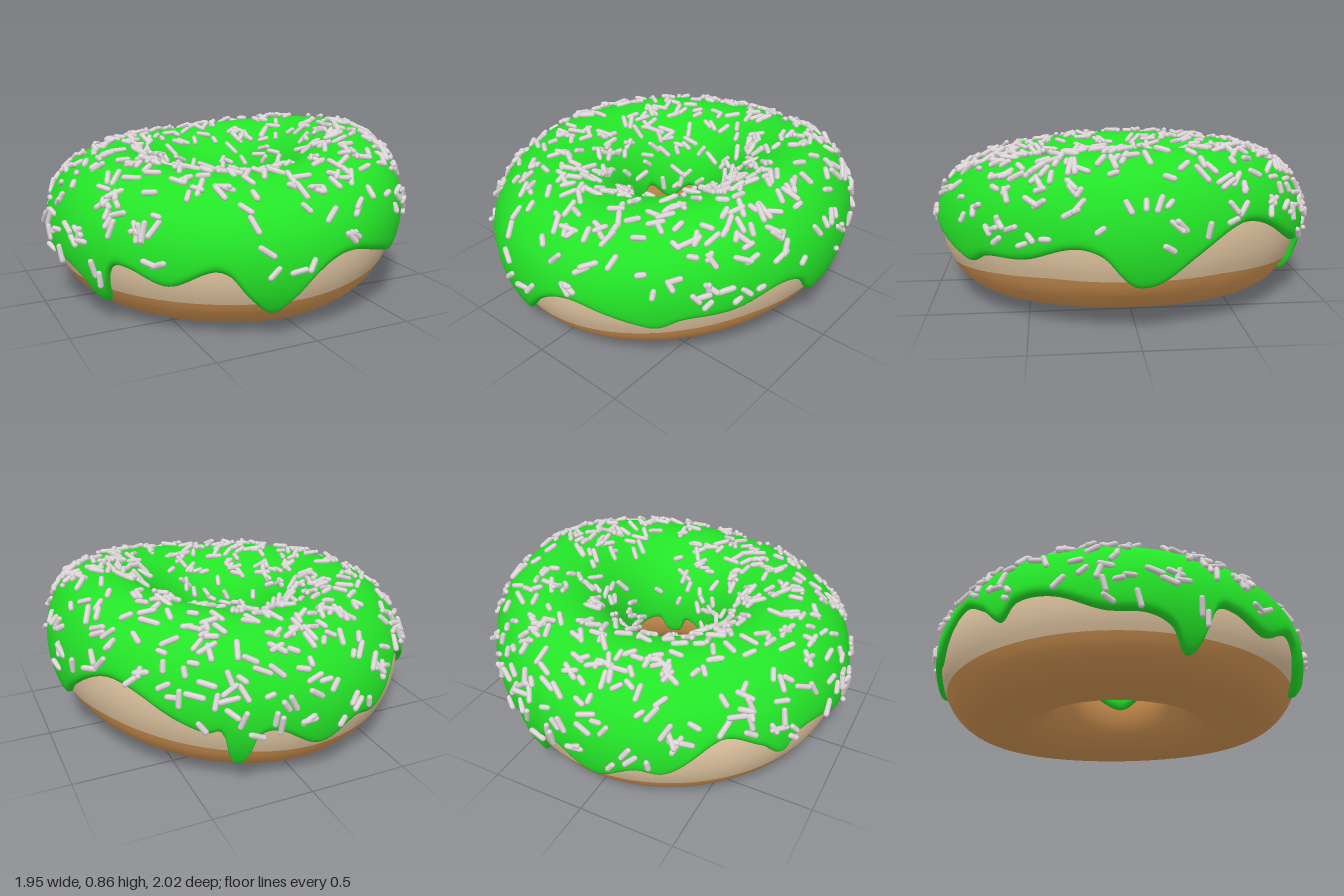
import * as THREE from 'three';
import { mergeGeometries } from 'three/addons/utils/BufferGeometryUtils.js';

const mat = (name, color) => new THREE.MeshStandardMaterial({ name, color });
const { PI } = Math;
const HALF = 0.352; // half height of the dough

// Gentle rise of the ring toward +x
const lift = (x) => 0.09 * Math.pow(Math.min(1, Math.max(0, (x + 0.1) / 0.9)), 1.5);

// Ring surface: a goes round the hole, t round the section (0 outside, PI/2 top), off is outward
function ring(a, t, off = 0) {
  const c = Math.cos(t), s = Math.sin(t), front = Math.max(0, Math.sin(a));
  // Fuller lower outer wall
  const r = 0.61 + (0.33 + off) * (c > 0 && s < 0 ? Math.pow(c, 0.88) : c);
  const x = 0.98 * r * Math.cos(a) + 0.035 * Math.max(0, (0.97 - r) / 0.72);
  // Front sags a little and bulges forward
  const y = HALF + (HALF + off) * s - 0.03 * front * Math.max(0, s) ** 2;
  const l = lift(x);
  return new THREE.Vector3(x, y + l * (1 + 0.6 * y), r * Math.sin(a) * (1 + 0.025 * front));
}

// Smooth closed mesh around the hole from point(a, v), v = 0..1
function sweep(point, nu, nv) {
  const pos = [], idx = [];
  for (let i = 0; i < nu; i++) {
    for (let j = 0; j <= nv; j++) pos.push(...point((i / nu) * 2 * PI, j / nv).toArray());
  }
  for (let i = 0; i < nu; i++) {
    for (let j = 0; j < nv; j++) {
      const p = i * (nv + 1) + j, q = ((i + 1) % nu) * (nv + 1) + j;
      idx.push(p, p + 1, q, p + 1, q + 1, q);
    }
  }
  const g = new THREE.BufferGeometry();
  g.setAttribute('position', new THREE.Float32BufferAttribute(pos, 3));
  g.setIndex(idx);
  g.computeVertexNormals();
  return g;
}

// Height of the dripping icing edge: [degrees, y]
const OUTER = [
  [0, 0.25], [4, 0.29], [10, 0.4], [18, 0.43], [32, 0.36], [46, 0.34], [53, 0.29], [59, 0.31],
  [68, 0.35], [77, 0.38], [84, 0.36], [90, 0.3], [96, 0.2], [102, 0.13], [109, 0.22],
  [114, 0.32], [119, 0.34], [131, 0.26], [143, 0.32], [149, 0.3], [153, 0.13], [157, 0.11],
  [161, 0.2], [168, 0.25], [180, 0.26], [194, 0.345], [205, 0.35], [210, 0.275], [217, 0.365],
  [229, 0.445], [245, 0.28], [254, 0.29], [266, 0.21], [279, 0.32], [285, 0.3], [288, 0.16],
  [292, 0.15], [294.5, 0.32], [299, 0.32], [307, 0.37], [320, 0.48], [328, 0.51], [335, 0.48],
  [345, 0.38], [354, 0.27], [360, 0.25],
];
const INNER = [
  [0, 0.27], [25, 0.33], [50, 0.34], [60, 0.25], [74, 0.24], [82, 0.32], [100, 0.29], [112, 0.22],
  [120, 0.2], [128, 0.23], [140, 0.31], [155, 0.36], [173, 0.31], [195, 0.38], [220, 0.28],
  [245, 0.36], [270, 0.3], [300, 0.37], [330, 0.33], [360, 0.27],
];
// Smooth curve through a table
function edgeY(table, a) {
  const d = (a * 180) / PI, last = table.length - 1;
  const i = Math.max(1, table.findIndex((e) => e[0] >= d));
  const slope = (k) => (k === 0 || k === last ? 0
    : (table[k + 1][1] - table[k - 1][1]) / (table[k + 1][0] - table[k - 1][0]));
  const [d0, y0] = table[i - 1], [d1, y1] = table[i];
  const w = d1 - d0, s = (d - d0) / w, q = 1 - s;
  return y0 + (y1 - y0) * s * s * (3 - 2 * s) + w * s * q * (slope(i - 1) * q - slope(i) * s);
}
function edgeAngle(table, a, radius) {
  const l = lift(radius * Math.cos(a));
  const y = (edgeY(table, a) - l) / (1 + 0.6 * l);
  return Math.asin(Math.max(-0.95, y / HALF - 1));
}
const icingStart = (a) => edgeAngle(OUTER, a, 0.92);
const icingEnd = (a) => PI - edgeAngle(INNER, a, 0.28);

// Icing with a rounded lip along both edges
function icingPoint(a, v) {
  const t0 = icingStart(a), t1 = icingEnd(a);
  const s = 0.5 - 0.5 * Math.cos(PI * v);
  const t = t0 + (t1 - t0) * s;
  const lip = THREE.MathUtils.clamp(Math.min(t - t0, t1 - t) * 9, 0, 1);
  return ring(a, t, -0.006 + 0.036 * Math.sqrt(lip * (2 - lip)));
}

// Sprinkles lying at random on the icing
function sprinkleGeometry(count) {
  let seed = 7;
  const rnd = () => (seed = (seed * 16807) % 2147483647) / 2147483647;
  const up = new THREE.Vector3(0, 1, 0);
  const parts = [];
  while (parts.length < count) {
    const a = rnd() * 2 * PI, t = -0.35 + rnd() * 3.55, keep = rnd();
    if (t < icingStart(a) + 0.12 || t > icingEnd(a) - 0.15) continue;
    // Even spread, sparser on the front wall
    if (rnd() > 0.75 + 0.4 * Math.cos(t)) continue;
    if (t < 0.9 && a > 0.9 && a < 2.3 && keep < 0.75) continue;
    const p = ring(a, t, 0.037);
    const da = ring(a + 0.01, t, 0.037).sub(p).normalize();
    const dt = ring(a, t + 0.01, 0.037).sub(p).normalize();
    const normal = dt.clone().cross(da).normalize();
    const spin = rnd() * 2 * PI;
    const dir = da.multiplyScalar(Math.cos(spin)).addScaledVector(dt, Math.sin(spin))
      .addScaledVector(normal, (rnd() - 0.5) * 0.7).normalize();
    const g = new THREE.CapsuleGeometry(0.0145, 0.03 + rnd() * 0.05, 2, 6);
    g.applyQuaternion(new THREE.Quaternion().setFromUnitVectors(up, dir));
    g.translate(p.x, p.y, p.z);
    parts.push(g);
  }
  return mergeGeometries(parts);
}

export function createModel() {
  const group = new THREE.Group();
  const add = (name, geometry, material) => {
    const mesh = new THREE.Mesh(geometry, material);
    mesh.name = name;
    group.add(mesh);
  };
  // Fried dough: brown below and in the hole, pale band on the outer wall
  const bandStart = -PI / 6;
  add('dough', sweep((a, v) => ring(a, PI / 2 + v * (1.5 * PI + bandStart)), 96, 40),
    mat('friedBrown', 0xda9a56));
  add('paleBand', sweep((a, v) => ring(a, bandStart + v * (PI / 2 - bandStart)), 96, 20),
    mat('paleDough', 0xe2c7a2));
  add('icing', sweep(icingPoint, 300, 36), mat('greenIcing', 0x24e428));
  add('sprinkles', sprinkleGeometry(560), mat('sprinkleGrey', 0xe2dadc));
  return group;
}
